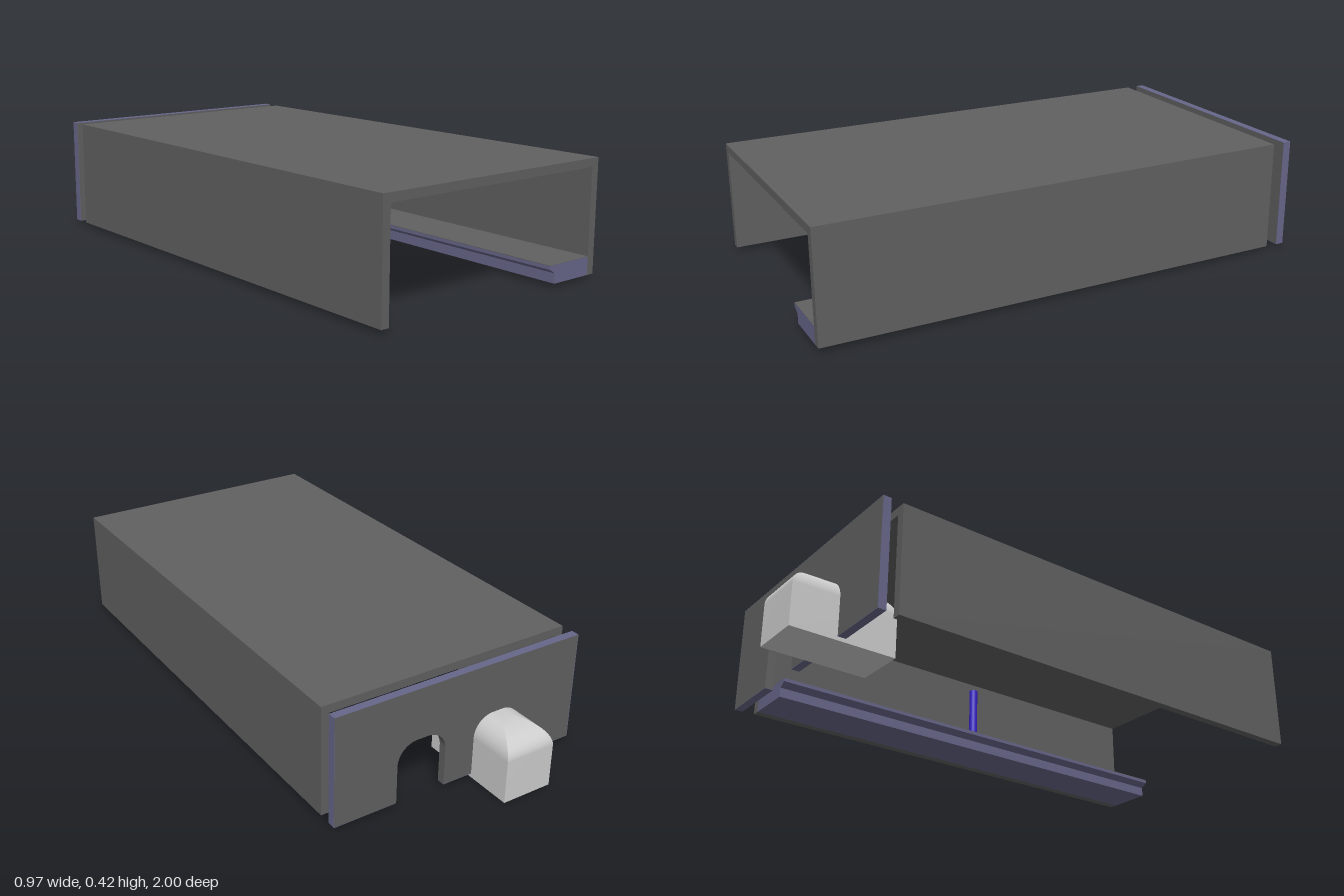
import * as THREE from 'three';

const W = 0.485, Y0 = 0.015, Y1 = 0.415, T = 0.03; // casing half width, bottom, top, wall
const BACK = -0.755, FRONT = 1;
const ARCH = { r: 0.095, spring: 0.155, top: 0.23, rx: 0.075, rz: 0.13 };

function material(name, color, side = THREE.FrontSide) {
  const m = new THREE.MeshStandardMaterial({ color, side });
  m.name = name;
  return m;
}

function add(group, name, geometry, mat, x = 0, y = 0, z = 0) {
  const mesh = new THREE.Mesh(geometry, mat);
  mesh.name = name;
  mesh.position.set(x, y, z);
  group.add(mesh);
  return mesh;
}

function extrude(shape, depth) {
  return new THREE.ExtrudeGeometry(shape, { depth, bevelEnabled: false, curveSegments: 12 });
}

function polygon(points) {
  return new THREE.Shape(points.map(([x, y]) => new THREE.Vector2(x, y)));
}

// Block whose four sides curve inward to a flat top, with mitred corners
function roundedBlock(halfX, halfZ) {
  const rings = [[0, 0, 0]]; // height, x inset, z inset
  for (let i = 0; i <= 12; i++) {
    const a = (i / 12) * Math.PI / 2, inset = 1 - Math.cos(a);
    rings.push([ARCH.spring + (ARCH.top - ARCH.spring) * Math.sin(a), ARCH.rx * inset, ARCH.rz * inset]);
  }
  const corners = [[-1, 1], [1, 1], [1, -1], [-1, -1]];
  const corner = ([y, ix, iz], k) => {
    const [sx, sz] = corners[k % 4];
    return [sx * (halfX - ix), y, sz * (halfZ - iz)];
  };
  const pos = [], index = [];
  for (let k = 0; k < 4; k++) {
    const base = pos.length / 3;
    rings.forEach((ring, i) => {
      pos.push(...corner(ring, k), ...corner(ring, k + 1));
      if (i === 0) return;
      const a = base + 2 * (i - 1);
      index.push(a, a + 1, a + 3, a, a + 3, a + 2);
    });
  }
  // flat top and underside
  [[rings[rings.length - 1], [0, 1, 2, 3]], [rings[0], [3, 2, 1, 0]]].forEach(([ring, order]) => {
    const b = pos.length / 3;
    order.forEach(k => pos.push(...corner(ring, k)));
    index.push(b, b + 1, b + 2, b, b + 2, b + 3);
  });
  const g = new THREE.BufferGeometry();
  g.setAttribute('position', new THREE.Float32BufferAttribute(pos, 3));
  g.setIndex(index);
  g.computeVertexNormals();
  return g;
}

export function createModel() {
  const grey = material('dark grey', 0x606060);
  const slate = material('slate blue', 0x666689);
  const blue = material('bright blue', 0x3822cc);
  const white = material('light grey', 0xcccccc);
  const model = new THREE.Group();
  model.name = 'model';

  // Casing: a channel open at the bottom and both ends
  const channel = polygon([[-W, Y0], [-W + T, Y0], [-W + T, Y1 - T], [W - T, Y1 - T],
    [W - T, Y0], [W, Y0], [W, Y1], [-W, Y1]]);
  add(model, 'casing', extrude(channel, FRONT - BACK), grey, 0, 0, BACK);

  // End plate with two arched notches
  const plate = new THREE.Group();
  plate.name = 'endPlate';
  plate.position.z = -0.83;
  model.add(plate);
  const centres = [-0.153, 0.153];
  const outline = new THREE.Shape();
  outline.moveTo(-W, Y0);
  centres.forEach(c => {
    const { r, spring, top, rx } = ARCH;
    outline.lineTo(c - r, Y0);
    outline.lineTo(c - r, spring);
    outline.absellipse(c - r + rx, spring, rx, top - spring, Math.PI, Math.PI / 2, true);
    outline.lineTo(c + r - rx, top);
    outline.absellipse(c + r - rx, spring, rx, top - spring, Math.PI / 2, 0, true);
    outline.lineTo(c + r, Y0);
  });
  outline.lineTo(W, Y0);
  outline.lineTo(W, Y1);
  outline.lineTo(-W, Y1);
  add(plate, 'plateBody', extrude(outline, T), grey);

  // Coloured outer edges of the plate
  const e = 0.002;
  add(plate, 'topEdge', new THREE.BoxGeometry(2 * W, e, T), slate, 0, Y1, T / 2);
  [-1, 1].forEach(s => add(plate, 'sideEdge', new THREE.BoxGeometry(e, Y1 - Y0, T), slate, s * W, (Y0 + Y1) / 2, T / 2));
  const r = ARCH.r;
  [[-W, centres[0] - r], [centres[0] + r, centres[1] - r], [centres[1] + r, W]].forEach(([a, b]) =>
    add(plate, 'bottomEdge', new THREE.BoxGeometry(b - a, e, T), slate, (a + b) / 2, Y0, T / 2));

  // Rail along the left wall, with a grey upper face
  const rail = polygon([[0.285, Y0], [W - T, Y0], [W - T, 0.079], [0.26, 0.079], [0.26, 0.066], [0.285, 0.05]]);
  add(model, 'rail', extrude(rail, FRONT - BACK), slate, 0, 0, BACK);
  add(model, 'railTop', new THREE.BoxGeometry(0.195, 0.002, FRONT - BACK), grey, 0.3575, 0.079, (FRONT + BACK) / 2);

  // Upright pin on the rail
  add(model, 'pin', new THREE.CylinderGeometry(0.016, 0.016, 0.21, 24), blue, 0.334, 0.185, 0.12);

  // Rounded block passing through one notch
  add(model, 'roundedBlock', roundedBlock(r, 0.1925), white, centres[0], 0, -0.8075);

  return model;
}
